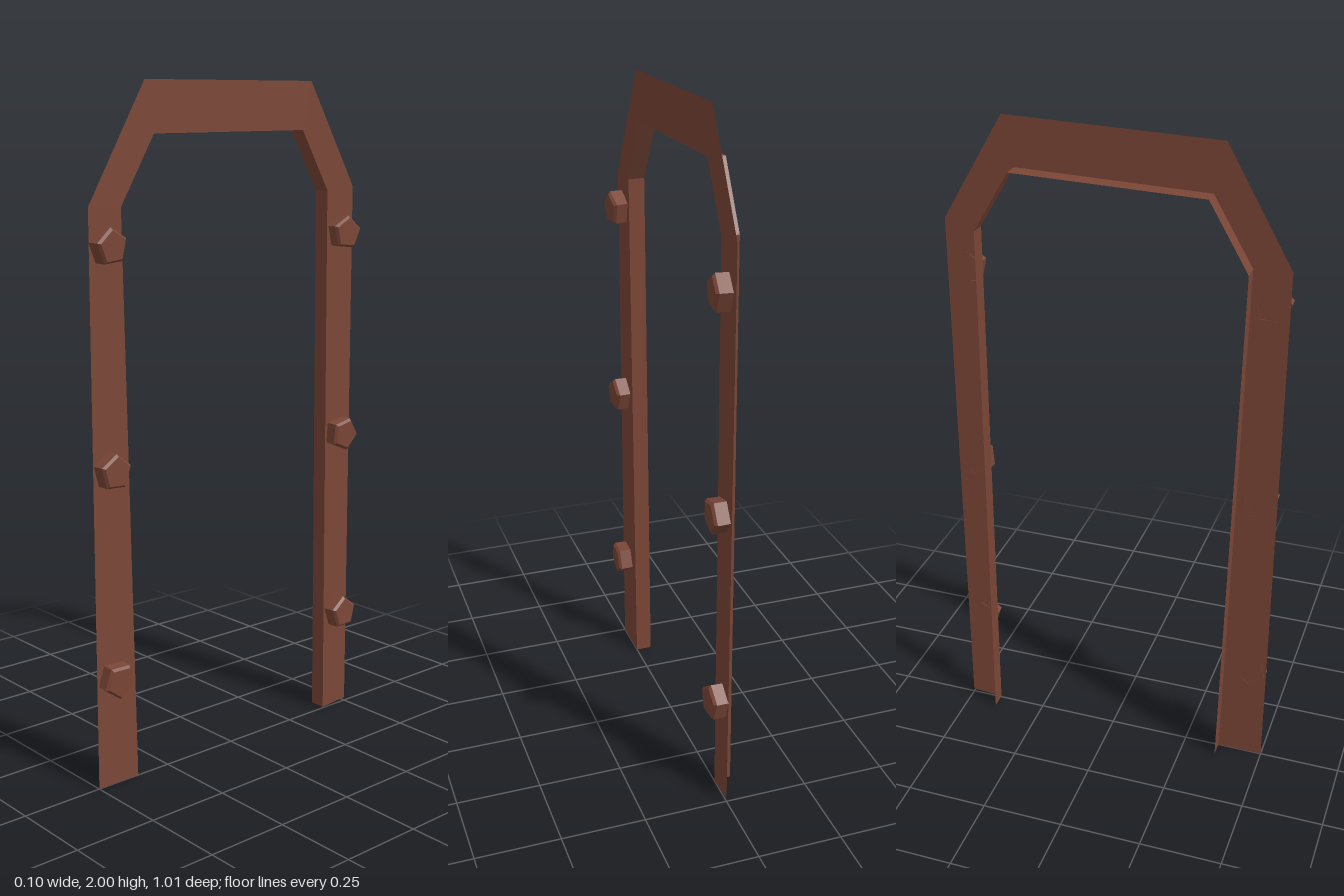
import * as THREE from 'three';

const material = new THREE.MeshStandardMaterial({
  color: 0x7a4636, flatShading: true, side: THREE.DoubleSide,
});

// Arch outlines from one foot over the top to the other (across, up)
const outer = [[-0.5, 0], [-0.5, 1.65], [-0.307, 1.985], [0.317, 2], [0.5, 1.69], [0.5, 0.01]];
const inner = [[-0.36, 0], [-0.392, 1.647], [-0.277, 1.842], [0.284, 1.857], [0.39, 1.678], [0.4, 0.003]];
const depth = 0.05;

// Studs: across, up, angle of one corner, tilt about the upright and level axes (degrees)
const studs = [
  [-0.453, 1.547, 96, 4, 2],
  [-0.45, 0.93, 15, 2, 0],
  [-0.445, 0.325, -90, -2, 2],
  [0.445, 1.55, 85, -6, 0],
  [0.445, 0.92, -5, -2, 2],
  [0.45, 0.327, 90, 2, -2],
];

function add(parent, name, geometry) {
  const mesh = new THREE.Mesh(geometry, material);
  mesh.name = name;
  parent.add(mesh);
  return mesh;
}

// Strip of quads joining two rows of 3D points
function strip(a, b) {
  const positions = [];
  for (let i = 0; i < a.length - 1; i++) {
    positions.push(...a[i], ...b[i], ...a[i + 1], ...a[i + 1], ...b[i], ...b[i + 1]);
  }
  const geometry = new THREE.BufferGeometry();
  geometry.setAttribute('position', new THREE.Float32BufferAttribute(positions, 3));
  geometry.computeVertexNormals();
  return geometry;
}

export function createModel() {
  const model = new THREE.Group();
  model.name = 'doorFrame';
  const frame = new THREE.Group();
  frame.name = 'archTrim';
  frame.rotation.y = Math.PI / 2; // the face of the trim looks along +x
  model.add(frame);

  const at = (row, z) => row.map(([x, y]) => [x, y, z]);

  // Flat face of the arch and the return along its inner edge
  add(frame, 'archFace', strip(at(inner, 0), at(outer, 0)));
  add(frame, 'innerReturn', strip(at(inner, -depth), at(inner, 0)));

  // Five-sided studs with slightly bevelled tops, set a little crooked
  const rad = THREE.MathUtils.degToRad;
  const profile = [[0.052, 0], [0.053, 0.037], [0.045, 0.045], [0, 0.045]]
    .map(([r, h]) => new THREE.Vector2(r, h));
  for (const [x, y, angle, turn, tip] of studs) {
    const geometry = new THREE.LatheGeometry(profile, 5);
    geometry.rotateX(Math.PI / 2);
    geometry.rotateZ(rad(angle + 90));
    const stud = add(frame, 'stud', geometry);
    stud.position.set(x, y, 0);
    stud.rotation.set(rad(tip), rad(turn), 0);
  }
  return model;
}
